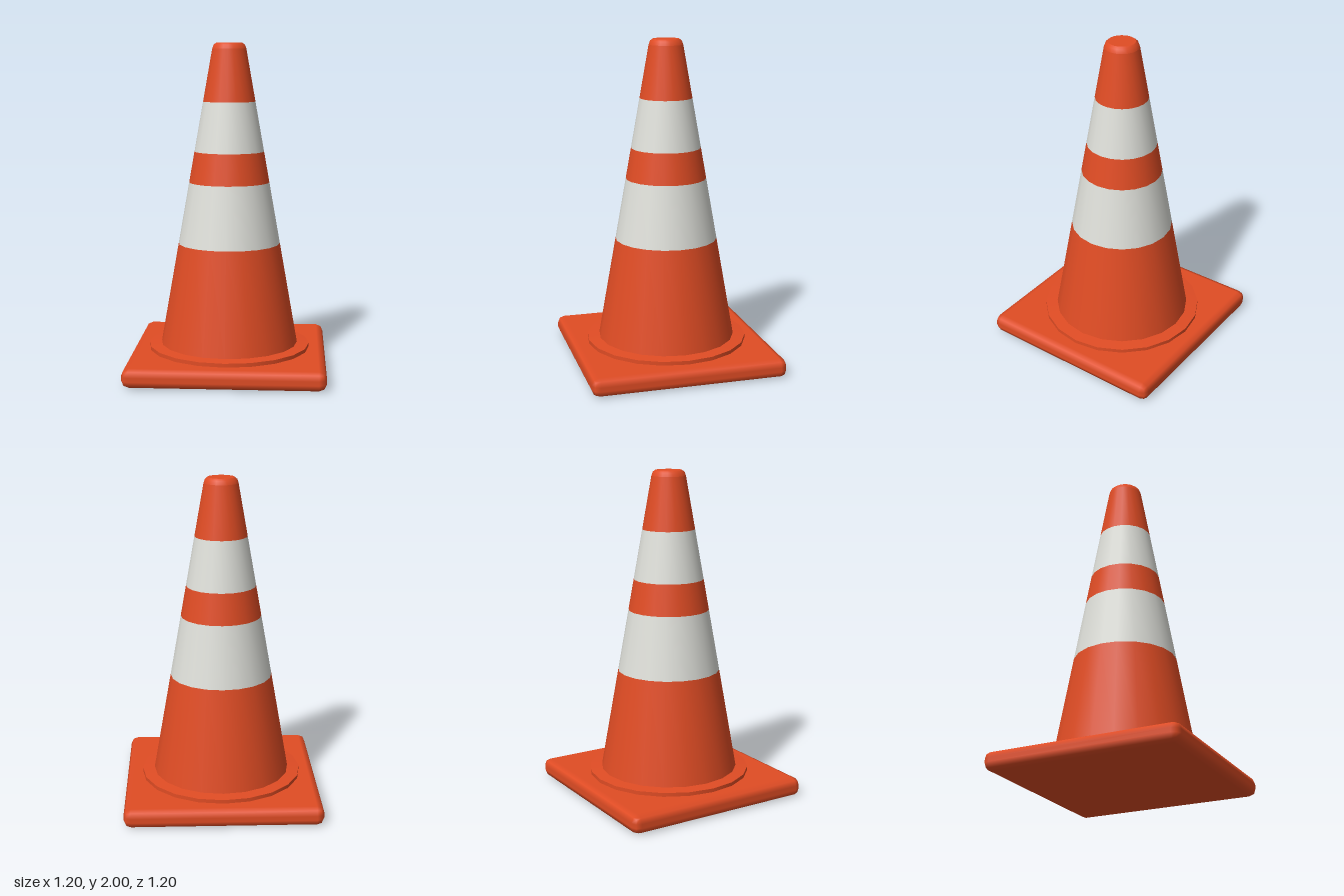
import * as THREE from 'three';
import { RoundedBoxGeometry } from 'three/addons/geometries/RoundedBoxGeometry.js';

const SIDES = 20;

export function createModel() {
  const model = new THREE.Group();
  model.name = 'trafficCone';

  const orange = new THREE.MeshStandardMaterial({ name: 'orange', color: 0xe04c24 });
  const white = new THREE.MeshStandardMaterial({ name: 'reflectiveWhite', color: 0xdfe0da });

  const add = (name, geometry, material, y = 0) => {
    const mesh = new THREE.Mesh(geometry, material);
    mesh.name = name;
    mesh.position.y = y;
    model.add(mesh);
  };
  const lathe = (points) =>
    new THREE.LatheGeometry(points.map(([r, y]) => new THREE.Vector2(r, y)), SIDES);

  // Square foot with softened edges
  add('base', new RoundedBoxGeometry(1.2, 0.115, 1.2, 1, 0.045), orange, 0.0575);

  // Round collar: upright rim and a slightly sloping top
  add('collarRim', lathe([[0.5, 0.1], [0.5, 0.138]]), orange);
  add('collarTop', lathe([[0.5, 0.138], [0.42, 0.145]]), orange);

  // Tapered body, cut into coloured bands along one straight slope
  const radiusAt = (y) => 0.428 - (y - 0.13) * 0.1765;
  const bands = [
    ['lowerBody', 0.13, 0.77, orange],
    ['lowerStripe', 0.77, 1.15, white],
    ['middleBody', 1.15, 1.34, orange],
    ['upperStripe', 1.34, 1.645, white],
    ['upperBody', 1.645, 1.965, orange],
  ];
  for (const [name, y0, y1, material] of bands) {
    add(name, lathe([[radiusAt(y0), y0], [radiusAt(y1), y1]]), material);
  }

  // Rounded lip and flat tip
  add('tipLip', lathe([[radiusAt(1.965), 1.965], [0.096, 1.988], [0.081, 2]]), orange);
  const tip = new THREE.CircleGeometry(0.081, SIDES).rotateX(-Math.PI / 2);
  add('tipCap', tip, orange, 2);

  return model;
}
